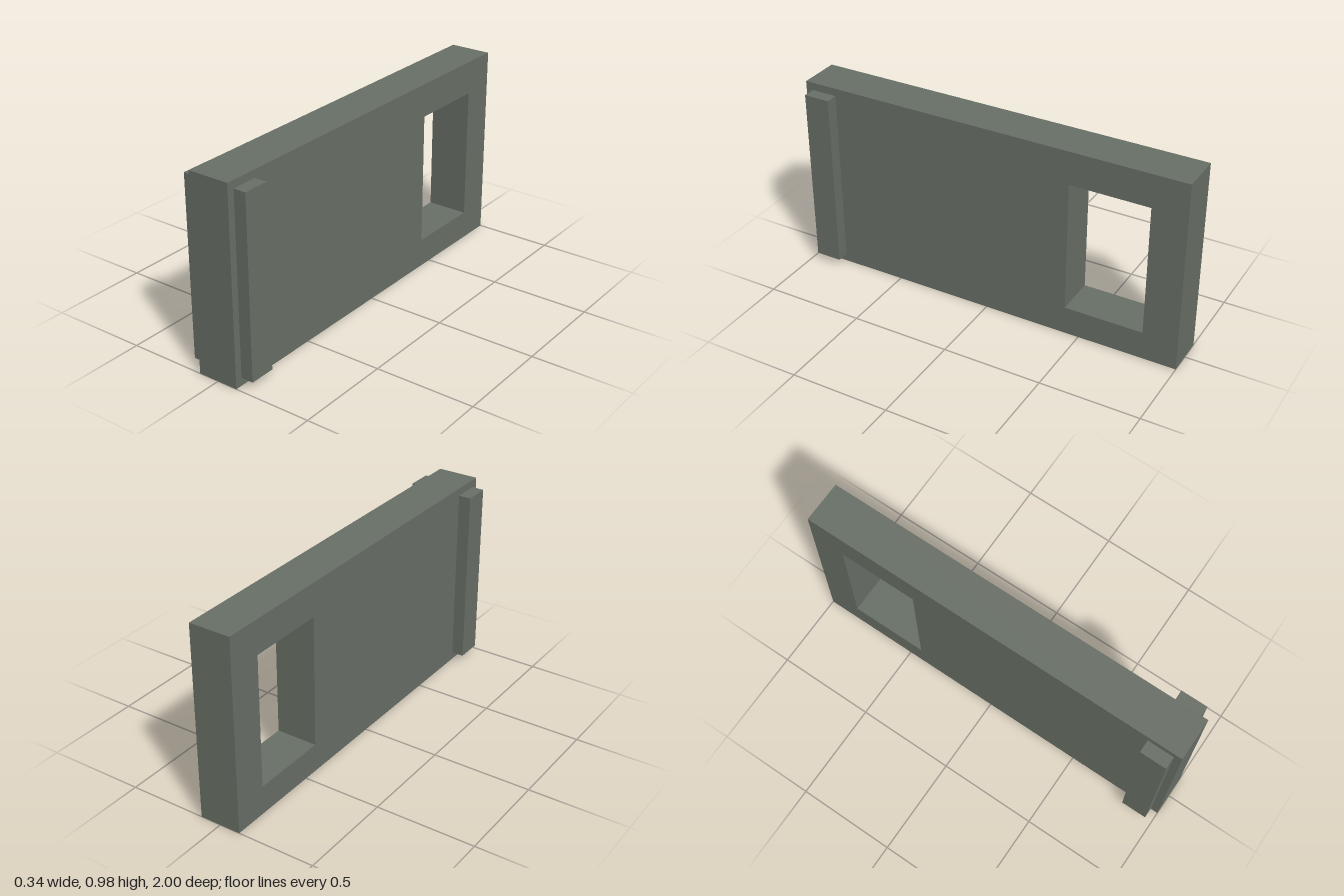
import * as THREE from 'three';

const HEIGHT = 0.984, HALF_WIDTH = 0.106;

// Counter-clockwise rectangle outline
function rectangle(path, x0, y0, x1, y1) {
  path.moveTo(x0, y0);
  path.lineTo(x1, y0);
  path.lineTo(x1, y1);
  path.lineTo(x0, y1);
  path.closePath();
  return path;
}

export function createModel() {
  const model = new THREE.Group();
  model.name = 'slottedPanel';
  const greyGreen = new THREE.MeshStandardMaterial({ color: 0x697067 });
  greyGreen.name = 'greyGreen';

  // Slab with a rectangular opening near the back; profile x runs along z
  const profile = rectangle(new THREE.Shape(), -1, 0, 1, HEIGHT);
  profile.holes.push(rectangle(new THREE.Path(), -0.825, 0.145, -0.425, 0.816));
  const slab = new THREE.ExtrudeGeometry(profile, { depth: HALF_WIDTH * 2, bevelEnabled: false });
  slab.translate(0, 0, -HALF_WIDTH);
  slab.rotateY(-Math.PI / 2);
  const panel = new THREE.Mesh(slab, greyGreen);
  panel.name = 'panel';
  model.add(panel);

  // Upright rib on each side near the front
  const ribDepth = 0.063;
  for (const side of [-1, 1]) {
    const rib = new THREE.Mesh(new THREE.BoxGeometry(ribDepth, 0.906, 0.133), greyGreen);
    rib.position.set(side * (HALF_WIDTH + ribDepth / 2), HEIGHT / 2, 0.897);
    rib.name = side > 0 ? 'leftRib' : 'rightRib';
    model.add(rib);
  }

  return model;
}
